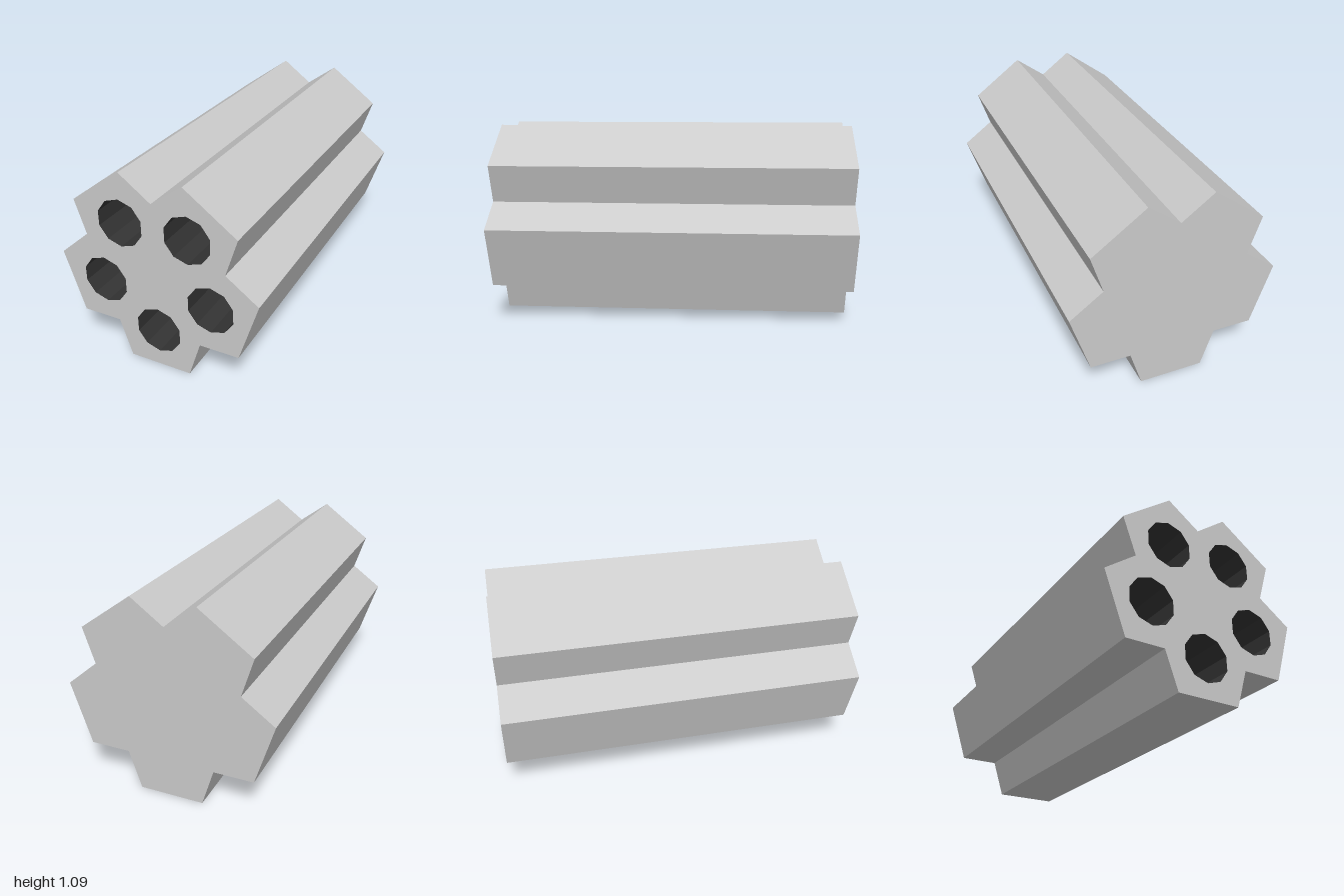
import * as THREE from 'three';

const CENTRE_Y = 0.545, OUTER = 0.572, NOTCH = 0.415;
const BORE_RING = 0.325, BORE = 0.1325, BACK = 0.1;

const polar = (r, deg) => {
  const a = THREE.MathUtils.degToRad(deg);
  return new THREE.Vector2(r * Math.cos(a), r * Math.sin(a));
};

// five lobes: two outer corners each, then a notch
function lobedShape() {
  const points = [];
  for (let i = 0; i < 5; i++) {
    const a = -90 + i * 72;
    points.push(polar(OUTER, a - 18), polar(OUTER, a + 18), polar(NOTCH, a + 36));
  }
  return new THREE.Shape(points);
}

export function createModel() {
  const model = new THREE.Group();
  model.name = 'fluteCylinder';
  const grey = new THREE.MeshStandardMaterial({ color: 0xcccccc, flatShading: true });
  const dark = new THREE.MeshStandardMaterial({ color: 0x333333, flatShading: true });
  const darkInside = dark.clone();
  darkInside.side = THREE.BackSide;

  const add = (name, geometry, material, x, y, z) => {
    const mesh = new THREE.Mesh(geometry, material);
    mesh.name = name;
    mesh.position.set(x, y, z);
    model.add(mesh);
  };

  // body pierced by five ten-sided bores
  const centres = Array.from({ length: 5 }, (_, i) => polar(BORE_RING, -90 + i * 72));
  const pierced = lobedShape();
  for (const c of centres) {
    const ring = Array.from({ length: 10 }, (_, k) => polar(BORE, 90 - k * 36).add(c));
    pierced.holes.push(new THREE.Path(ring));
  }
  const extrude = (shape, depth) => new THREE.ExtrudeGeometry(shape, { depth, bevelEnabled: false });
  add('body', extrude(pierced, 2 - BACK), grey, 0, CENTRE_Y, -1 + BACK);

  // solid back closing the bores
  add('backPlate', extrude(lobedShape(), BACK), grey, 0, CENTRE_Y, -1);

  // dark lining and floor of each bore
  const r = BORE - 0.0007, depth = 2 - BACK;
  const lining = new THREE.CylinderGeometry(r, r, depth, 10, 1, true).rotateX(Math.PI / 2);
  const floor = new THREE.CircleGeometry(r, 10, Math.PI / 2);
  centres.forEach((c, i) => {
    add(`boreLining${i + 1}`, lining, darkInside, c.x, CENTRE_Y + c.y, BACK / 2);
    add(`boreFloor${i + 1}`, floor, dark, c.x, CENTRE_Y + c.y, -1 + BACK + 0.002);
  });
  return model;
}
